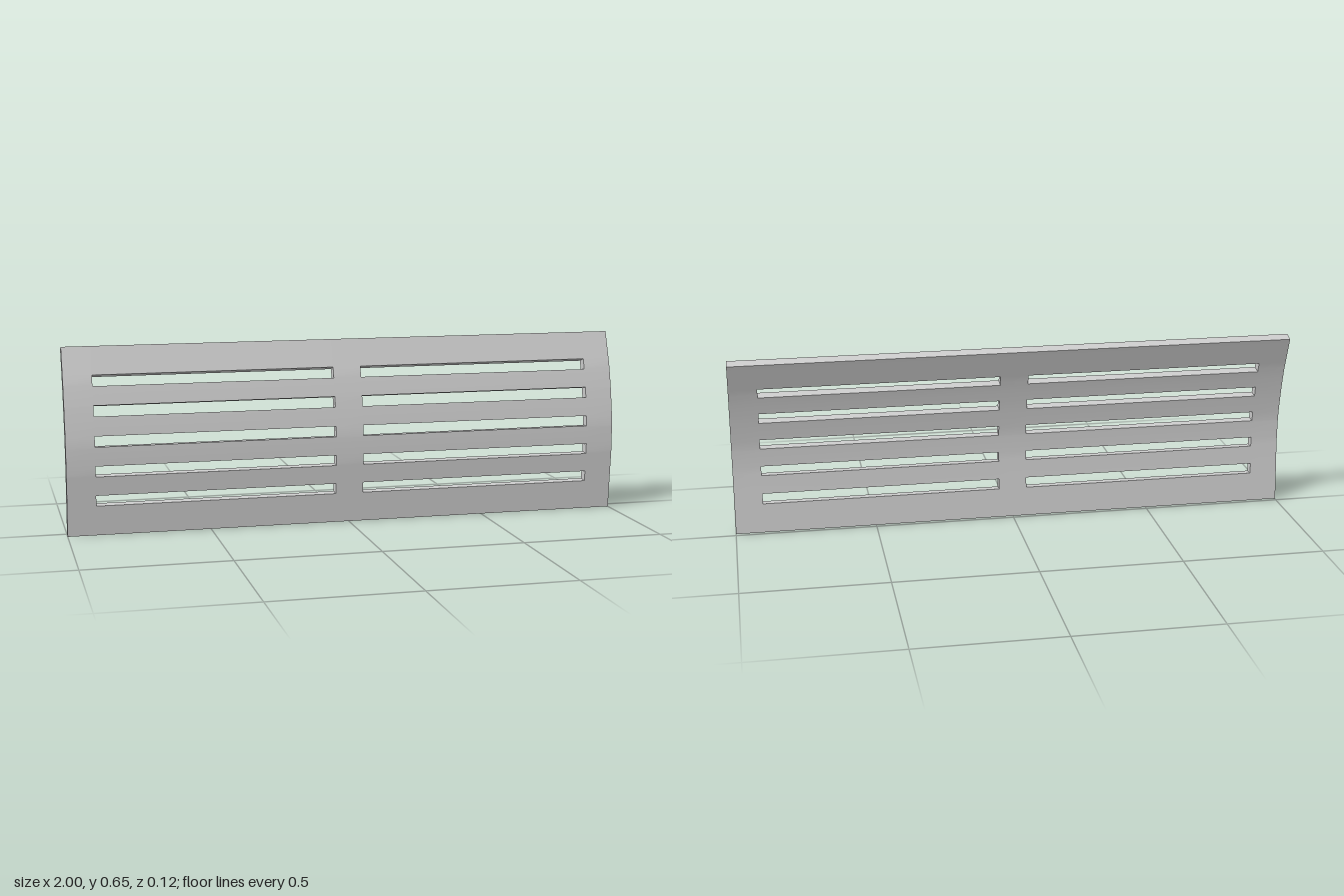
import * as THREE from 'three';
import { toCreasedNormals } from 'three/addons/utils/BufferGeometryUtils.js';

// Front face of the curved panel as [y, z], from bottom to top
const PROFILE = [[0, 0.041], [0.217, 0.059], [0.307, 0.059], [0.346, 0.056],
  [0.4, 0.047], [0.45, 0.0376], [0.49, 0.0285], [0.53, 0.018], [0.561, 0.007], [0.652, -0.026]];
const THICKNESS = 0.034;

// Horizontal slots, as heights on the front face
const SLOT_HEIGHT = 0.037;
const SLOTS = [0.105, 0.209, 0.313, 0.417, 0.519].map((y) => [y, y + SLOT_HEIGHT]);

function frontZ(y) {
  let i = 0;
  while (i < PROFILE.length - 2 && y > PROFILE[i + 1][0]) i++;
  const [y0, z0] = PROFILE[i], [y1, z1] = PROFILE[i + 1];
  return z0 + (z1 - z0) * (y - y0) / (y1 - y0);
}

// Point on the front face, or moved inward along its normal to the back face
function panelPoint(x, y, back) {
  const h = 0.01;
  const slope = (frontZ(y + h) - frontZ(y - h)) / (2 * h);
  const depth = back ? THICKNESS / Math.hypot(1, slope) : 0;
  return [x, y + depth * slope, frontZ(y) - depth];
}

function slottedPanelGeometry() {
  const xs = [-1, -0.9, -0.05, 0.05, 0.9, 1];
  const ys = [...PROFILE.map((p) => p[0]), ...SLOTS.flat()].sort((a, b) => a - b);

  const solid = (i, j) => {
    if (i < 0 || j < 0 || i >= xs.length - 1 || j >= ys.length - 1) return false;
    const mid = (ys[j] + ys[j + 1]) / 2;
    const inSlot = SLOTS.some(([a, b]) => mid > a && mid < b);
    return !(inSlot && (i === 1 || i === 3));
  };

  const positions = [];
  const quad = (a, b, c, d) => positions.push(...a, ...b, ...c, ...a, ...c, ...d);

  for (let i = 0; i < xs.length - 1; i++) {
    for (let j = 0; j < ys.length - 1; j++) {
      if (!solid(i, j)) continue;
      const corners = (back) => [
        panelPoint(xs[i], ys[j], back), panelPoint(xs[i + 1], ys[j], back),
        panelPoint(xs[i + 1], ys[j + 1], back), panelPoint(xs[i], ys[j + 1], back)];
      const f = corners(false), b = corners(true);
      quad(f[0], f[1], f[2], f[3]);
      quad(b[1], b[0], b[3], b[2]);
      // Walls on outer rims and around the slots
      const neighbours = [[i, j - 1], [i + 1, j], [i, j + 1], [i - 1, j]];
      neighbours.forEach(([ni, nj], k) => {
        const n = (k + 1) % 4;
        if (!solid(ni, nj)) quad(f[k], b[k], b[n], f[n]);
      });
    }
  }

  const geometry = new THREE.BufferGeometry();
  geometry.setAttribute('position', new THREE.Float32BufferAttribute(positions, 3));
  return toCreasedNormals(geometry, 0.4);
}

export function createModel() {
  const group = new THREE.Group();
  group.name = 'slottedBackrest';
  const panel = new THREE.Mesh(slottedPanelGeometry(),
    new THREE.MeshStandardMaterial({ color: 0xcccccc }));
  panel.name = 'slottedPanel';
  group.add(panel);
  return group;
}
